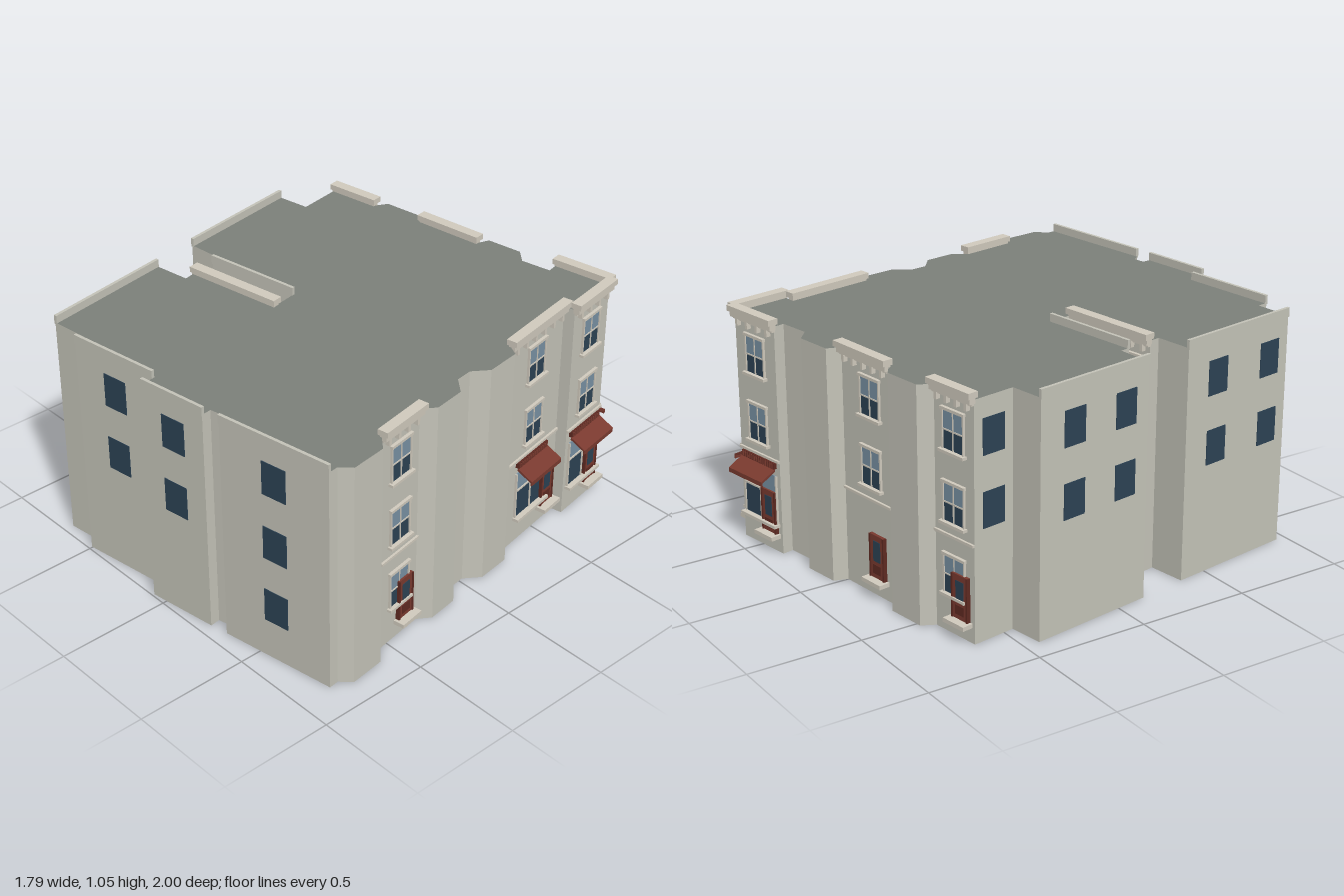
import * as THREE from 'three';

const mat = (color) => new THREE.MeshStandardMaterial({ color });
const M = {
  wall: mat(0xc4c3b8), roof: mat(0x7c807a), trim: mat(0xd0cabd), red: mat(0x7a3a2f),
  darkRed: mat(0x5f2a22), glass: mat(0x2c4254), sky: mat(0x7891a3),
};
const ROOF = 1.02, TOP = 1.055;

// Footprint corners [x, z], counter-clockwise seen from above
const plan = [
  [-.68, .955], [-.515, .935], [-.505, .985], [-.085, .925], [-.07, .99], [.245, .945], [.24, .9], [.29, .89],
  [.325, .93], [.85, .845], [.845, .8], [.89, .755], [.87, .595], [.81, .545], [.77, .31], [.81, .25],
  [.79, .11], [.72, .055], [.71, -.02], [.76, -.09], [.74, -.245], [.69, -.27], [.62, -.66], [.67, -.67],
  [.625, -.93], [.365, -.885], [.375, -.835], [.24, -.81], [.18, -.86], [.02, -.835], [0, -.775], [-.3, -.735],
  [-.35, -.77], [-.52, -.745], [-.55, -.685], [-.775, -.65], [-.745, -.455], [-.895, -.43], [-.81, .14],
  [-.645, .125], [-.635, .17], [-.2, .1], [-.18, .22], [-.615, .29], [-.605, .34], [-.77, .365],
];

// Box centred on x, spanning y0..y1 and z0..z1
function box(parent, name, m, w, y0, y1, z0, z1, x = 0) {
  const mesh = new THREE.Mesh(new THREE.BoxGeometry(w, y1 - y0, z1 - z0), m);
  mesh.position.set(x, (y0 + y1) / 2, (z0 + z1) / 2);
  mesh.name = name;
  parent.add(mesh);
}

// Group lying on wall i: +x to the viewer's right, +z outwards
function onWall(root, i, name) {
  const [ax, az] = plan[i], [bx, bz] = plan[(i + 1) % plan.length];
  const g = new THREE.Group();
  g.name = name;
  g.position.set((ax + bx) / 2, 0, (az + bz) / 2);
  g.rotation.y = Math.atan2(az - bz, bx - ax);
  g.userData.width = Math.hypot(bx - ax, bz - az);
  root.add(g);
  return g;
}

// Sash window with frame, lintel and sill
function sashWindow(g, x, y0) {
  const y1 = y0 + .16, mid = y0 + .08, w = .12;
  box(g, 'windowLowerPane', M.glass, w, y0, mid, 0, .004, x);
  box(g, 'windowUpperPane', M.sky, w, mid, y1, 0, .005, x);
  for (const s of [-1, 1]) box(g, 'windowJamb', M.trim, .007, y0, y1, 0, .01, x + s * w / 2);
  box(g, 'windowMullion', M.trim, .005, y0, y1, 0, .008, x);
  box(g, 'windowRail', M.trim, w, mid - .003, mid + .003, 0, .008, x);
  box(g, 'windowLintel', M.trim, w + .015, y1, y1 + .012, 0, .014, x);
  box(g, 'windowSill', M.trim, w + .025, y0 - .012, y0, 0, .022, x);
}

// Panelled door with glazing and a step
function door(g, x) {
  const y0 = .085, y1 = .275;
  box(g, 'door', M.red, .09, y0, y1, 0, .014, x);
  box(g, 'doorPane', M.glass, .045, y0 + .075, y1 - .025, 0, .016, x);
  box(g, 'doorPanel', M.darkRed, .05, y0 + .02, y0 + .06, 0, .017, x);
  for (const s of [-1, 1]) box(g, 'doorJamb', M.darkRed, .008, y0, y1, 0, .018, x + s * .043);
  box(g, 'doorStep', M.trim, .12, y0 - .018, y0, 0, .05, x);
}

// Shop window with transom, fascia and sloping awning
function shopfront(g) {
  const w = .215;
  box(g, 'shopPane', M.glass, w, .13, .265, 0, .005);
  box(g, 'shopTransom', M.sky, w, .265, .35, 0, .005);
  box(g, 'shopRail', M.trim, w, .261, .269, 0, .01);
  for (const x of [-w / 2, 0, w / 2]) box(g, 'shopMullion', M.trim, .007, .13, .35, 0, .01, x);
  box(g, 'shopSill', M.trim, w + .02, .117, .13, 0, .03);
  box(g, 'shopFascia', M.darkRed, w + .005, .385, .412, 0, .016);
  for (let i = 0; i < 14; i++)
    box(g, 'fasciaRib', M.red, .007, .387, .41, 0, .02, -w / 2 + (i + .5) * w / 14);
  const profile = [[0, .387], [.073, .348], [.073, .328], [.066, .328], [.066, .341], [0, .375]];
  const shape = new THREE.Shape(profile.map(([z, y]) => new THREE.Vector2(-z, y)));
  const geo = new THREE.ExtrudeGeometry(shape, { depth: w + .01, bevelEnabled: false });
  geo.rotateY(Math.PI / 2).translate(-(w + .01) / 2, 0, 0);
  const awning = new THREE.Mesh(geo, M.red);
  awning.name = 'awning';
  awning.position.z = .012;
  g.add(awning);
}

// Stepped cornice with brackets, and the belt course
function cornice(g) {
  const w = g.userData.width;
  box(g, 'corniceCap', M.trim, w + .02, 1.03, TOP, -.012, .035);
  box(g, 'corniceMoulding', M.trim, w + .008, 1.005, 1.03, -.005, .024);
  box(g, 'corniceLine', M.trim, w, .995, 1.005, -.005, .012);
  const n = Math.max(4, Math.round(w / .065));
  for (let i = 0; i < n; i++)
    box(g, 'corniceBracket', M.trim, .014, .972, 1.006, 0, .02, (i + .5) * w / n - w / 2);
  box(g, 'beltCourse', M.trim, w, .415, .426, 0, .01);
}

export function createModel() {
  const root = new THREE.Group();
  root.name = 'cornerBuilding';

  // Main block
  const shape = new THREE.Shape(plan.map(([x, z]) => new THREE.Vector2(x, -z)));
  const geo = new THREE.ExtrudeGeometry(shape, { depth: ROOF, bevelEnabled: false });
  geo.rotateX(-Math.PI / 2);
  const block = new THREE.Mesh(geo, [M.roof, M.wall]);
  block.name = 'mainBlock';
  root.add(block);

  // Decorated facades: wall, window offset, door offset, shop, ground window
  const facades = [
    { wall: 13, win: 0, door: .035, ground: true },
    { wall: 21, win: 0, door: .125, shop: true },
    { wall: 23, win: 0, door: .06, shop: true },
    { wall: 24, win: 0, door: .06, shop: true },
    { wall: 30, win: .03, door: .065 },
    { wall: 34, win: 0, door: .04, ground: true },
    { wall: 42, win: .12, door: .15 },
  ];
  for (const f of facades) {
    const g = onWall(root, f.wall, 'facade');
    cornice(g);
    sashWindow(g, f.win, .778);
    sashWindow(g, f.win, .478);
    if (f.ground) sashWindow(g, f.win, .172);
    if (f.shop) shopfront(g);
    door(g, f.door);
  }

  // Plain walls: window columns, pane width, rows, and a thin parapet
  const plain = [
    { wall: 2, at: [0], w: .117 },
    { wall: 4, at: [0], w: .117 },
    { wall: 8, at: [0], w: .117, rows: 3 },
    { wall: 37, at: [-.11, .165], w: .11 },
    { wall: 45, at: [-.12, .19], w: .11 },
    { wall: 40, at: [0], w: .117 },
    { wall: 35, at: [0], w: .11, flat: true },
  ];
  for (const p of plain) {
    const g = onWall(root, p.wall, 'plainWall');
    for (const x of p.at)
      for (let r = 0; r < (p.rows || 2); r++)
        box(g, 'plainWindow', M.glass, p.w, .783 - r * .302, .935 - r * .302, -.01, .003, x);
    if (!p.flat) box(g, 'parapet', M.wall, g.userData.width + .004, 1.015, TOP, -.01, .004);
  }
  return root;
}
